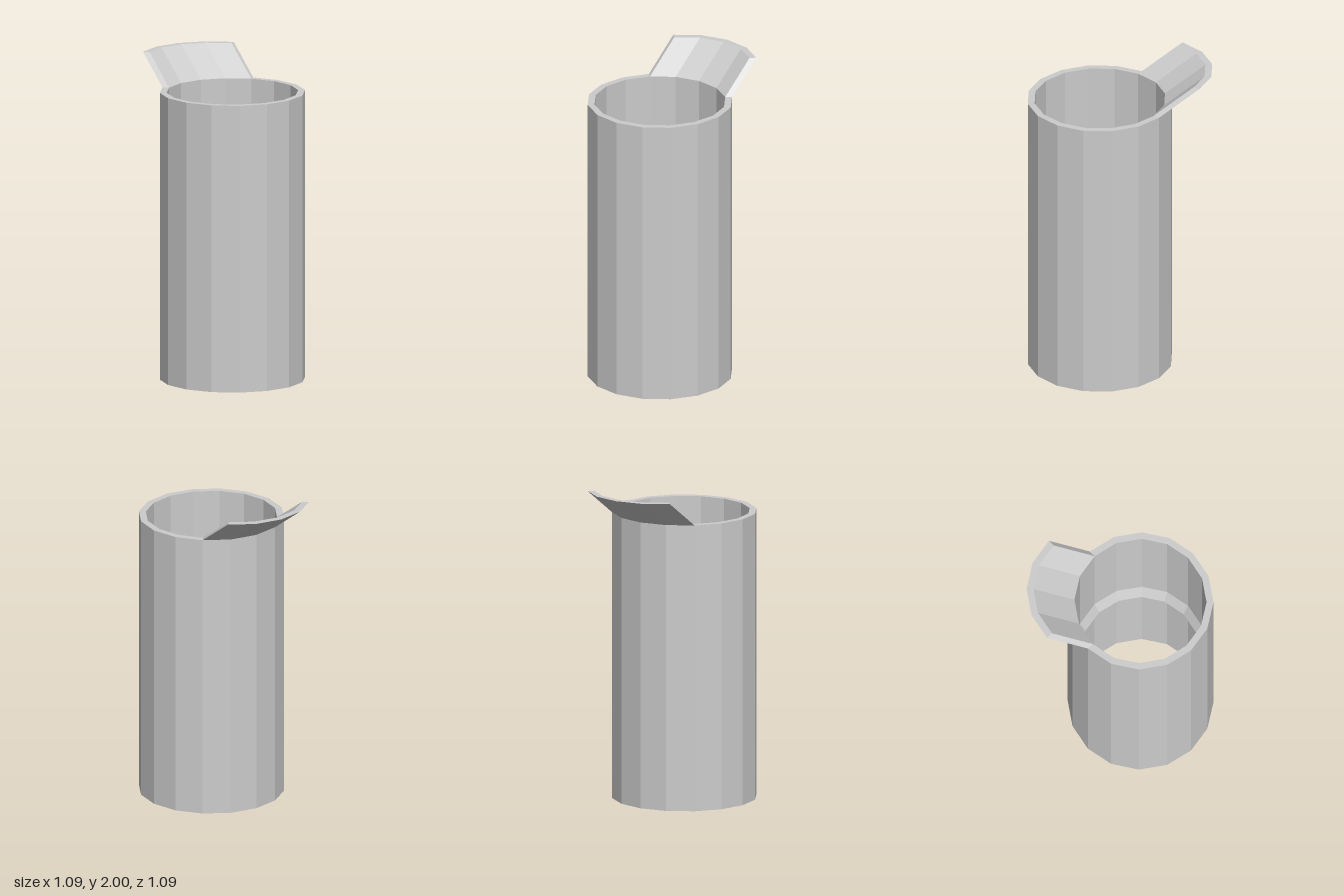
import * as THREE from 'three';

const SIDES = 16, OUTER = 0.454, INNER = 0.411, HEIGHT = 1.82;
const STEP = (Math.PI * 2) / SIDES;
const CENTRE = 0.09;
const SPOUT_RISE = 0.18;

const material = new THREE.MeshStandardMaterial({ color: 0xcccccc, flatShading: true });
const innerMaterial = material.clone();
innerMaterial.side = THREE.DoubleSide;

function addMesh(group, name, geometry, mat = material) {
  const mesh = new THREE.Mesh(geometry, mat);
  mesh.name = name;
  group.add(mesh);
}

function lathe(profile, segments, start = 0) {
  const points = profile.map(([r, y]) => new THREE.Vector2(r, y));
  return new THREE.LatheGeometry(points, segments, start, segments * STEP);
}

// Quarter-ring extruded upwards and sheared outwards at 45 degrees
function spoutGeometry() {
  const arc = (r) => Array.from({ length: 5 }, (_, i) => {
    const a = Math.PI / 2 + i * STEP;
    return new THREE.Vector2(r * Math.cos(a), r * Math.sin(a));
  });
  const shape = new THREE.Shape([...arc(OUTER), ...arc(INNER).reverse()]);
  const geo = new THREE.ExtrudeGeometry(shape, { depth: SPOUT_RISE, bevelEnabled: false });
  geo.rotateX(-Math.PI / 2);
  const p = geo.attributes.position;
  for (let i = 0; i < p.count; i++) {
    const y = p.getY(i);
    p.setXYZ(i, p.getX(i) - y, y + HEIGHT, p.getZ(i) - y);
  }
  geo.computeVertexNormals();
  return geo;
}

export function createModel() {
  const group = new THREE.Group();
  group.name = 'spoutedTube';

  const body = new THREE.Group();
  body.name = 'body';
  body.position.set(CENTRE, 0, CENTRE);
  group.add(body);

  // Open tube with wall thickness
  addMesh(body, 'tubeWall', lathe(
    [[OUTER, 0], [OUTER, HEIGHT], [INNER, HEIGHT], [INNER, 0], [OUTER, 0]], SIDES));

  // Sloped lip inside the tube, open on the side away from the spout
  addMesh(body, 'innerLip', lathe(
    [[INNER, 0.85], [0.372, 0.87], [INNER, 0.95]], 14, 3 * STEP), innerMaterial);

  // Slanted spout on the back corner
  addMesh(body, 'spout', spoutGeometry());

  return group;
}
